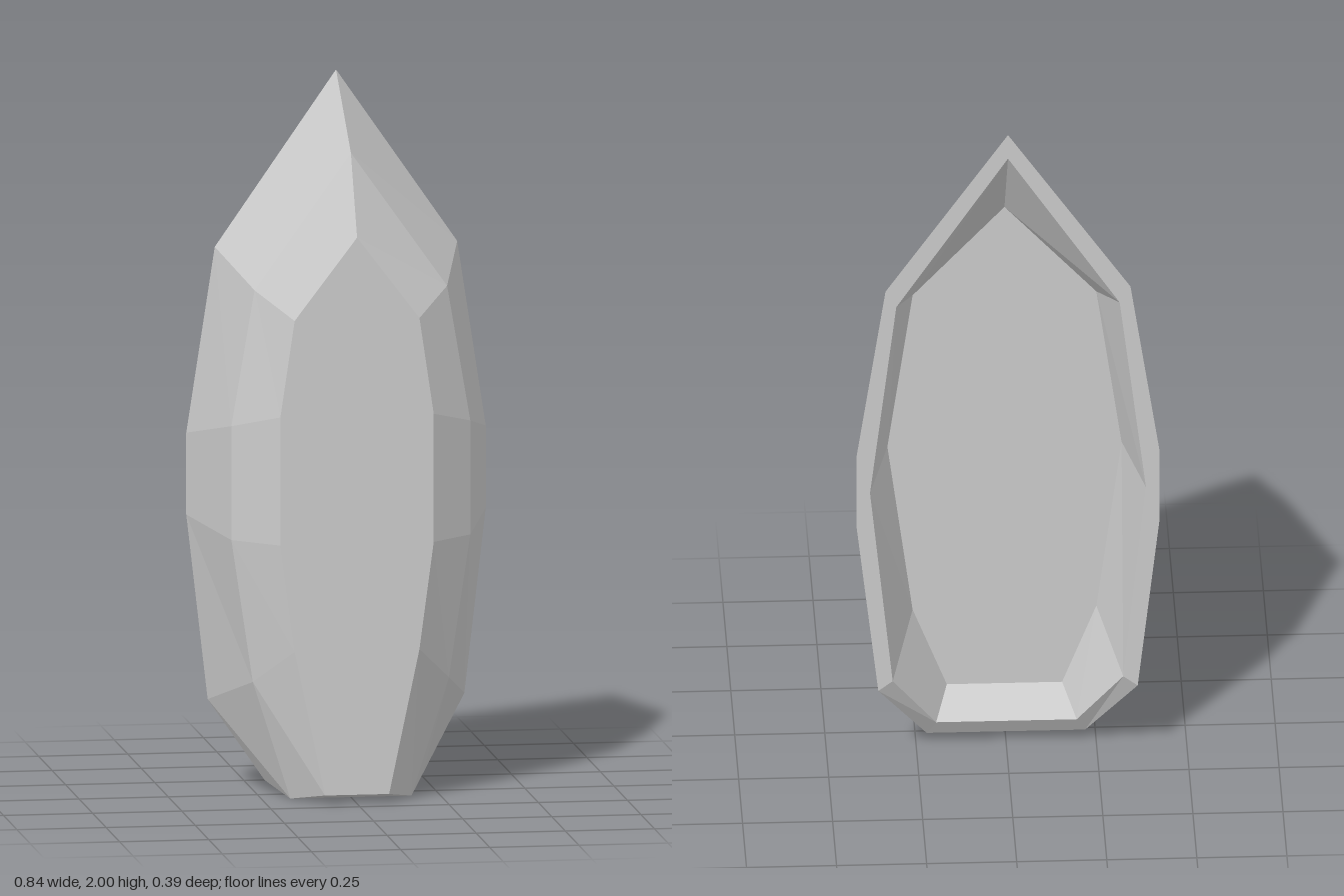
import * as THREE from 'three';

// Half outline [x, y, z] from the peak down the left side, mirrored to a closed loop
function ring(z, half) {
  const left = half.map(([x, y, pz = z]) => new THREE.Vector3(x, y, pz));
  const right = left.slice(1).reverse().map(p => new THREE.Vector3(-p.x, p.y, p.z));
  return [...left, ...right];
}

// Faceted mesh from a list of corner triples, dropping collapsed triangles
function facets(name, triangles) {
  const points = triangles
    .filter(([a, b, c]) => new THREE.Triangle(a, b, c).getArea() > 1e-7)
    .flat();
  const geometry = new THREE.BufferGeometry().setFromPoints(points);
  geometry.computeVertexNormals();
  const material = new THREE.MeshStandardMaterial({ color: 0xcccccc, flatShading: true });
  const mesh = new THREE.Mesh(geometry, material);
  mesh.name = name;
  return mesh;
}

// Band of facets joining consecutive rings
function loft(name, rings) {
  const triangles = [];
  for (let r = 0; r < rings.length - 1; r++) {
    const a = rings[r], b = rings[r + 1];
    for (let i = 0; i < a.length; i++) {
      const j = (i + 1) % a.length;
      triangles.push([a[i], b[i], a[j]], [a[j], b[i], b[j]]);
    }
  }
  return facets(name, triangles);
}

// Flat face filling a convex ring
function cap(name, loop, facesFront) {
  const triangles = [];
  for (let i = 1; i < loop.length - 1; i++) {
    triangles.push(facesFront ? [loop[0], loop[i + 1], loop[i]] : [loop[0], loop[i], loop[i + 1]]);
  }
  return facets(name, triangles);
}

export function createModel() {
  const group = new THREE.Group();
  group.name = 'facetedShell';

  // Outer rings, back to front
  const back = ring(-0.195, [[0, 2], [0.34, 1.51], [0.42, 0.99], [0.42, 0.76], [0.36, 0.24], [0.22, 0.03, -0.065]]);
  const middle = ring(0.08, [[0, 1.81], [0.27, 1.43], [0.335, 1.05], [0.335, 0.73], [0.275, 0.33], [0.17, 0]]);
  const front = ring(0.195, [[0, 1.59], [0.175, 1.36], [0.215, 1.09], [0.215, 0.73], [0.175, 0.43], [0.09, 0.025]]);

  // Recess rings: rim edge and floor
  const rim = ring(-0.195, [[0, 1.925], [0.31, 1.46], [0.383, 0.87], [0.383, 0.87], [0.32, 0.27], [0.195, 0.08, -0.095]]);
  const floor = ring(0.03, [[0, 1.645], [0.255, 1.37], [0.325, 0.89], [0.325, 0.89], [0.255, 0.37], [0.16, 0.13]]);

  group.add(
    loft('outerFacets', [back, middle, front]),
    cap('frontFace', front, true),
    loft('backRim', [rim, back]),
    loft('recessWalls', [floor, rim]),
    cap('recessFloor', floor, false)
  );
  return group;
}
